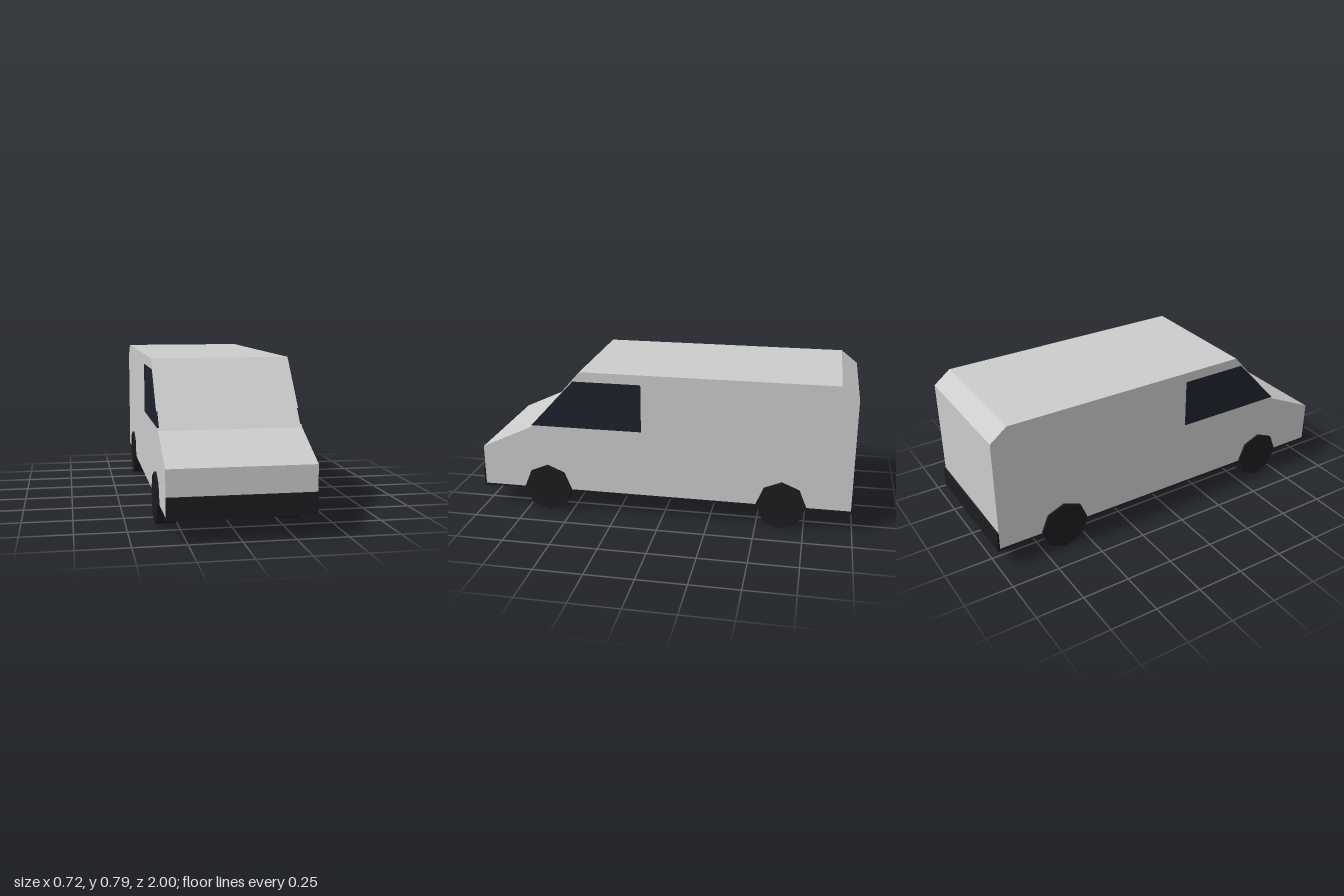
import * as THREE from 'three';

const paint = (color) => new THREE.MeshStandardMaterial({ color, flatShading: true });

export function createModel() {
  const van = new THREE.Group();
  van.name = 'van';
  const grey = paint(0xcccccc);
  const black = paint(0x1c1c1f);
  const glass = paint(0x1e222c);

  const add = (name, geometry, material, x = 0, y = 0, z = 0) => {
    const mesh = new THREE.Mesh(geometry, material);
    mesh.name = name;
    mesh.position.set(x, y, z);
    van.add(mesh);
    return mesh;
  };

  // Extrude a side profile of [z, y] points across x, centred on x = 0
  const sideProfile = (points, width) => {
    const shape = new THREE.Shape(points.map(([z, y]) => new THREE.Vector2(-z, y)));
    return new THREE.ExtrudeGeometry(shape, { depth: width, bevelEnabled: false })
      .translate(0, 0, -width / 2)
      .rotateY(Math.PI / 2);
  };

  // Body shell with sloping bonnet, windscreen and clipped rear roof edge
  add('body', sideProfile([
    [0.99, 0.125], [0.99, 0.343], [0.717, 0.47], [0.433, 0.791],
    [-0.9, 0.791], [-0.988, 0.722], [-0.988, 0.125],
  ], 0.698), grey);

  // Floor under the body
  add('chassis', new THREE.BoxGeometry(0.685, 0.02, 1.9), black, 0, 0.12, 0);

  // Bumpers wrapped just inside the body sides
  for (const [name, s] of [['frontBumper', 1], ['rearBumper', -1]]) {
    add(name, new THREE.BoxGeometry(0.697, 0.107, 0.06), black, 0, 0.1625, s * 0.97);
  }

  // Cab side windows and octagonal wheels, mirrored left and right
  const windowGeometry = sideProfile([
    [0.708, 0.484], [0.47, 0.739], [0.11, 0.739], [0.11, 0.484],
  ], 0.01);
  const wheelGeometry = new THREE.CylinderGeometry(0.13, 0.13, 0.1, 8).rotateZ(Math.PI / 2);
  for (const [side, s] of [['left', 1], ['right', -1]]) {
    add(side + 'Window', windowGeometry, glass, s * 0.348, 0, 0);
    add(side + 'FrontWheel', wheelGeometry, black, s * 0.31, 0.13, 0.63);
    add(side + 'RearWheel', wheelGeometry, black, s * 0.31, 0.13, -0.63);
  }
  return van;
}
